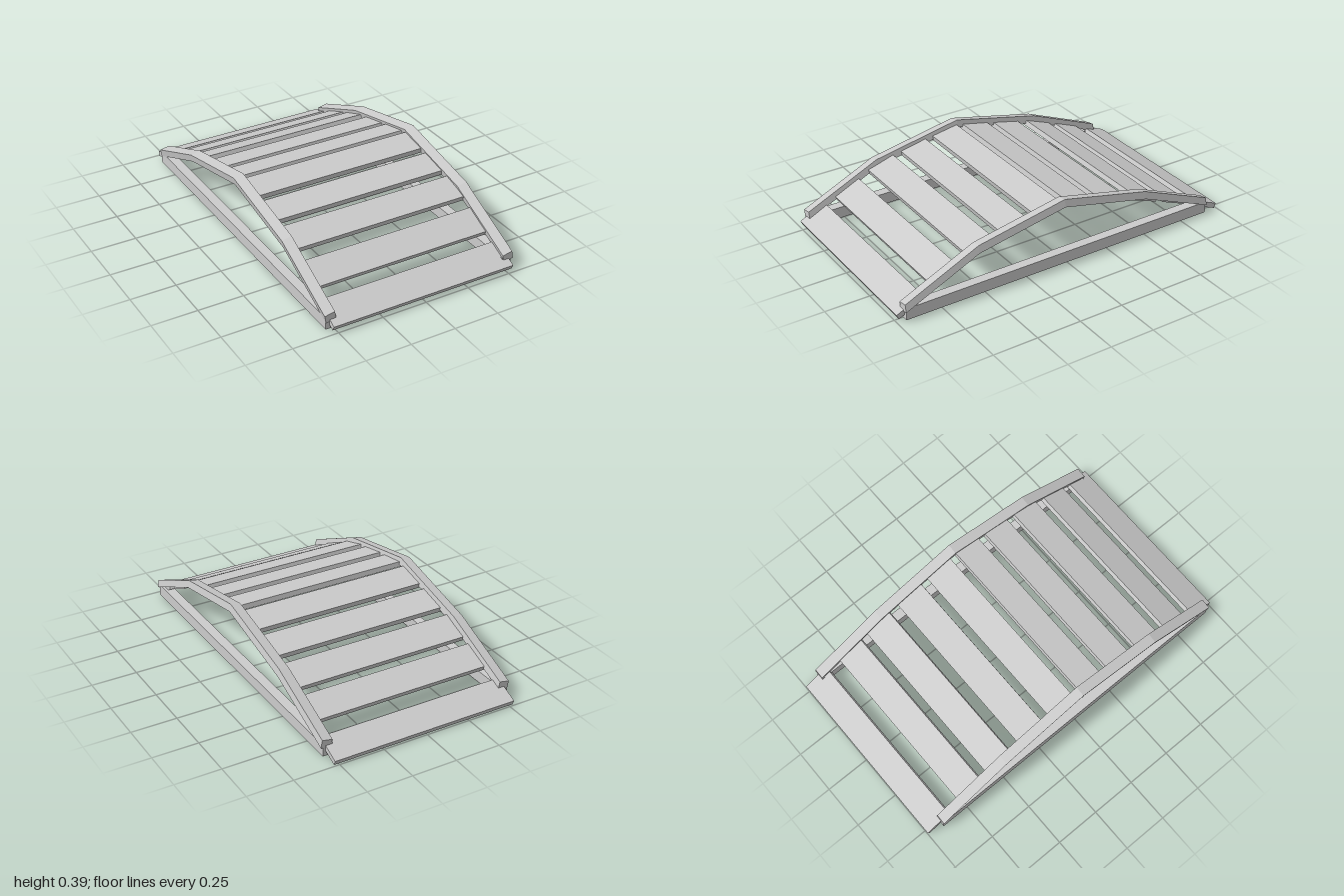
import * as THREE from 'three';

const material = new THREE.MeshStandardMaterial({ color: 0xcccccc, flatShading: true });

function addMesh(parent, geometry, name) {
  const mesh = new THREE.Mesh(geometry, material);
  mesh.name = name;
  parent.add(mesh);
  return mesh;
}

// Joins equal four-cornered sections, ordered front to back, into a closed solid
function loft(sections) {
  const index = [];
  const quad = (a, b, c, d) => index.push(a, b, c, a, c, d);
  for (let i = 0; i < sections.length - 1; i++) {
    for (let k = 0; k < 4; k++) {
      const a = i * 4 + k, b = i * 4 + (k + 1) % 4;
      quad(a, a + 4, b + 4, b);
    }
  }
  const last = (sections.length - 1) * 4;
  quad(0, 1, 2, 3);
  quad(last + 3, last + 2, last + 1, last);
  const indexed = new THREE.BufferGeometry();
  indexed.setAttribute('position', new THREE.Float32BufferAttribute(sections.flat(2), 3));
  indexed.setIndex(index);
  const geometry = indexed.toNonIndexed();
  geometry.computeVertexNormals();
  return geometry;
}

// Arched rail with a slightly tilted section; path gives [z, top height]
const railPath = [[0.96, 0.102], [0.54, 0.295], [0.03, 0.392], [-0.485, 0.275], [-0.91, 0.102]];

function railGeometry(x) {
  return loft(railPath.map(([z, y]) => [
    [x + 0.008, y - 0.053, z],
    [x + 0.064, y - 0.042, z],
    [x + 0.056, y, z],
    [x, y - 0.011, z],
  ]));
}

// Top edge lines of the planks: [front z, front y, back z, back y]
const planks = [
  [1.0, 0.045, 0.855, 0.116],
  [0.8, 0.148, 0.655, 0.216],
  [0.595, 0.25, 0.44, 0.296],
  [0.39, 0.303, 0.235, 0.335],
  [0.19, 0.34, 0.035, 0.366],
  [-0.005, 0.358, -0.165, 0.323],
  [-0.207, 0.312, -0.37, 0.274],
  [-0.43, 0.262, -0.585, 0.204],
  [-0.63, 0.187, -0.78, 0.127],
  [-0.857, 0.089, -1.0, 0.03],
];

export function createModel() {
  const bridge = new THREE.Group();
  bridge.name = 'archedFootbridge';

  // Curved rails and the straight beams that tie their ends together
  for (const [side, railX, beamX] of [['left', 0.487, 0.514], ['right', -0.553, -0.518]]) {
    addMesh(bridge, railGeometry(railX), side + 'Rail');
    const beam = addMesh(bridge, new THREE.BoxGeometry(0.054, 0.065, 1.865), side + 'BaseBeam');
    beam.position.set(beamX, 0.0425, 0.0225);
  }

  // Deck planks, each tilted to follow the arch
  const deck = new THREE.Group();
  deck.name = 'deck';
  bridge.add(deck);
  const thickness = 0.029;
  planks.forEach(([z0, y0, z1, y1], i) => {
    const dz = z0 - z1, dy = y1 - y0;
    const angle = Math.atan2(dy, dz);
    const plank = addMesh(deck, new THREE.BoxGeometry(1.05, thickness, Math.hypot(dz, dy)), 'plank' + (i + 1));
    plank.rotation.x = angle;
    plank.position.set(
      0,
      (y0 + y1) / 2 - Math.cos(angle) * thickness / 2,
      (z0 + z1) / 2 - Math.sin(angle) * thickness / 2,
    );
  });

  return bridge;
}
